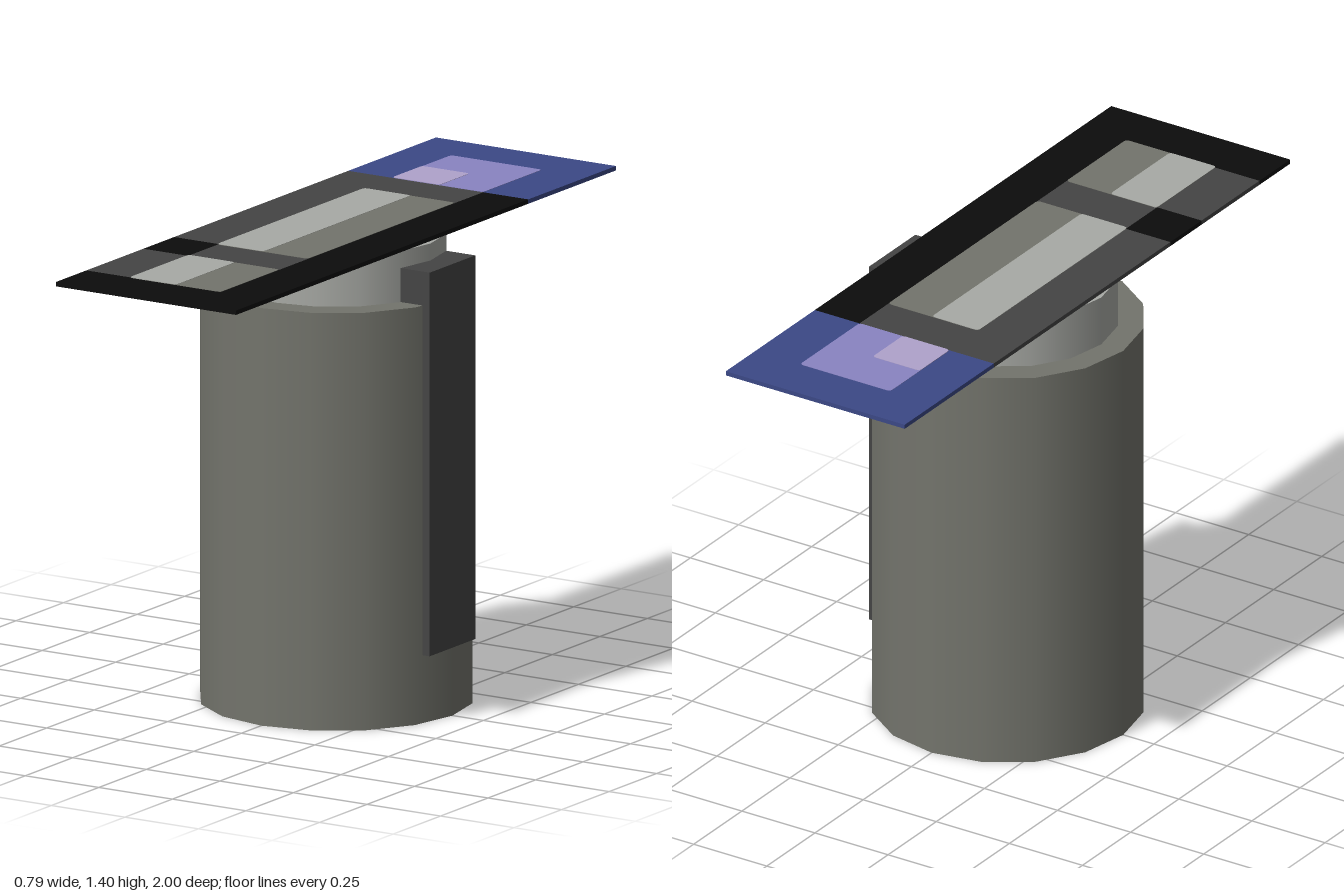
import * as THREE from 'three';

const mat = (name, color) => {
  const m = new THREE.MeshStandardMaterial({ color });
  m.name = name;
  return m;
};

export function createModel() {
  const grey = mat('warmGrey', 0x73746c);
  const light = mat('lightGrey', 0xa8aaa5);
  const dark = mat('darkGrey', 0x444444);
  const black = mat('black', 0x0c0c0c);
  const blue = mat('blue', 0x3b4886);
  const purple = mat('purple', 0x8984c2);
  const pink = mat('palePurple', 0xafa2cb);

  const model = new THREE.Group();
  model.name = 'postWithPanel';
  const add = (parent, name, geometry, material, x, y, z) => {
    const mesh = new THREE.Mesh(geometry, material);
    mesh.name = name;
    mesh.position.set(x, y, z);
    parent.add(mesh);
  };

  // Sixteen-sided post and its narrower neck
  add(model, 'body', new THREE.CylinderGeometry(0.395, 0.395, 1.23, 16), grey, 0, 0.615, 0);
  add(model, 'neck', new THREE.CylinderGeometry(0.32, 0.32, 0.15, 16), light, 0, 1.305, 0);

  // Upright bar on the side
  add(model, 'sideBar', new THREE.BoxGeometry(0.105, 1.13, 0.24), dark, 0.3425, 0.765, 0);

  // Long flat panel, assembled from coloured tiles
  const panel = new THREE.Group();
  panel.name = 'panel';
  panel.position.y = 1.387;
  model.add(panel);
  const T = 0.013;
  const tile = (name, material, x0, x1, z0, z1) =>
    add(panel, name, new THREE.BoxGeometry(x1 - x0, T, z1 - z0), material, (x0 + x1) / 2, 0, (z0 + z1) / 2);
  tile('blueEnd', blue, -0.307, 0.305, -1, -0.538);
  tile('blackSideStrip', black, 0.152, 0.305, -0.538, 0.84);
  tile('blackEnd', black, -0.307, 0.305, 0.84, 1);
  tile('darkField', dark, -0.307, 0.152, -0.538, 0.378);
  tile('blackNotch', black, -0.307, -0.155, 0.378, 0.54);
  tile('darkDivider', dark, -0.155, 0.152, 0.378, 0.54);
  tile('darkFrontField', dark, -0.307, 0.152, 0.54, 0.84);

  // Softly cornered inlays, visible on both faces of the panel
  const inlay = (name, material, x0, x1, z0, z1, proud) => {
    const w = (x1 - x0) / 2, h = (z1 - z0) / 2, r = 0.012;
    const s = new THREE.Shape();
    s.moveTo(-w + r, -h).lineTo(w - r, -h).quadraticCurveTo(w, -h, w, -h + r);
    s.lineTo(w, h - r).quadraticCurveTo(w, h, w - r, h);
    s.lineTo(-w + r, h).quadraticCurveTo(-w, h, -w, h - r);
    s.lineTo(-w, -h + r).quadraticCurveTo(-w, -h, -w + r, -h);
    const depth = T + proud * 2;
    const geo = new THREE.ExtrudeGeometry(s, { depth, bevelEnabled: false, curveSegments: 3 });
    geo.translate(0, 0, -depth / 2).rotateX(Math.PI / 2);
    add(panel, name, geo, material, (x0 + x1) / 2, 0, (z0 + z1) / 2);
  };
  inlay('purpleInlay', purple, -0.157, 0.152, -0.847, -0.538, 0.001);
  inlay('purpleHighlight', pink, -0.157, 0.004, -0.695, -0.538, 0.002);
  for (const [z0, z1] of [[-0.39, 0.385], [0.535, 0.845]]) {
    inlay('greyInlay', grey, -0.157, 0.152, z0, z1, 0.001);
    inlay('greyHighlight', light, -0.157, 0.002, z0, z1, 0.002);
  }
  return model;
}
